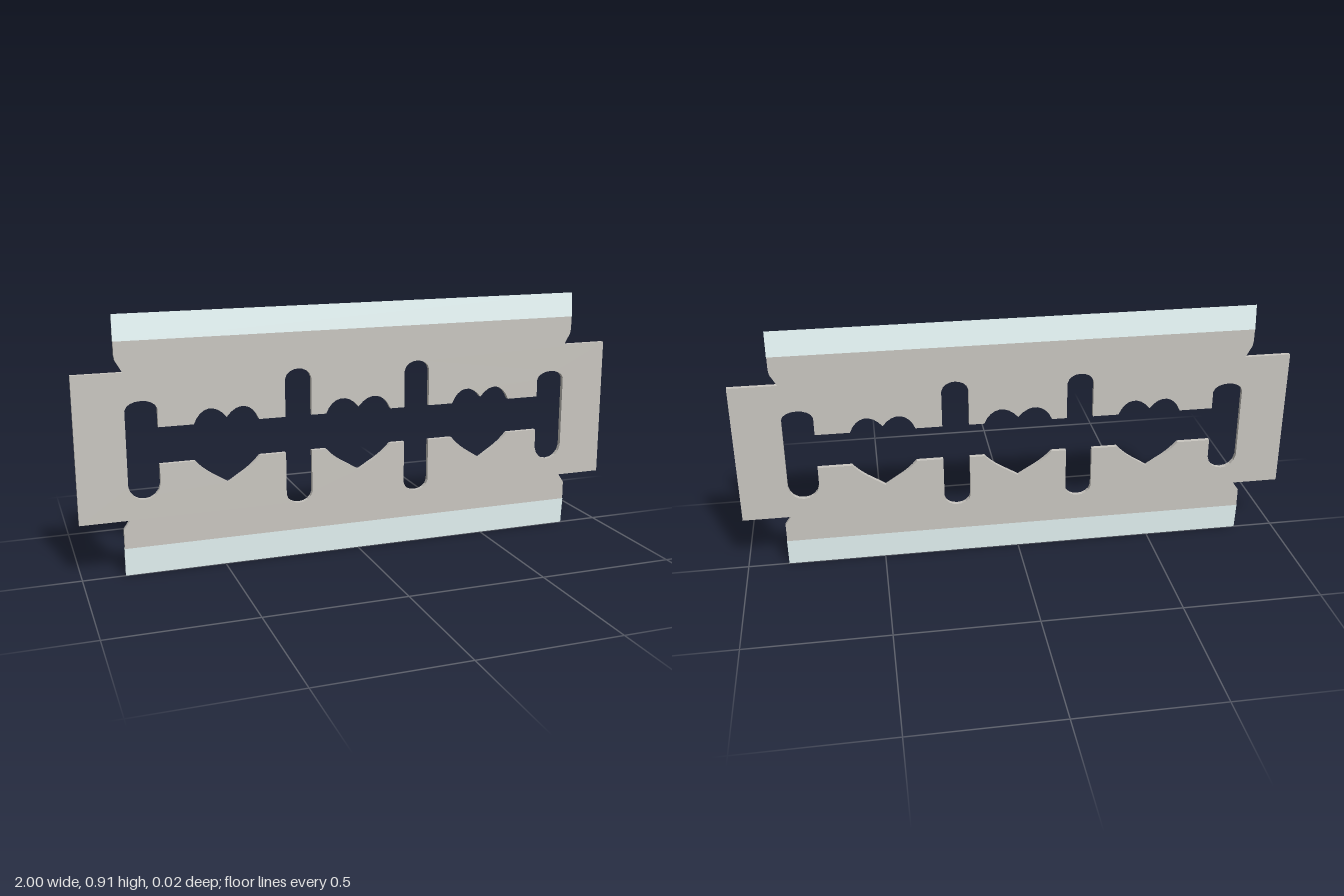
import * as THREE from 'three';

const HALF_T = 0.008;           // half thickness of the plate
const TOP = 0.52, BOTTOM = 0.39; // upper and lower edge of the central channel

const steel = new THREE.MeshStandardMaterial({ color: 0xcac7c1 });
const ground = new THREE.MeshStandardMaterial({ color: 0xeafafa });

// Cut-outs along the channel, from left to right
const slot = (x, half, top, capTop, bottom, capBottom) =>
  ({ x, half, top, capTop, bottom, capBottom });
const endSlot = (x) => slot(x, 0.055, 0.615, 0.03, 0.27, 0.05);
const crossSlot = (x) => slot(x, 0.048, 0.69, 0.035, 0.2, 0.035);
const heart = (x, half) => ({ x, half, isHeart: true });
const features = [
  endSlot(-0.775), heart(-0.483, 0.115), crossSlot(-0.225), heart(0, 0.123),
  crossSlot(0.225), heart(0.483, 0.115), endSlot(0.775),
];

// Rounded slot end: straight sides and a curved cap of height h
function slotEnd(path, x0, x1, edge, tip, h) {
  const y = tip - h, c = y + h * 4 / 3, inset = (x1 - x0) * 0.08;
  path.lineTo(x0, edge);
  path.lineTo(x0, y);
  path.bezierCurveTo(x0 + inset, c, x1 - inset, c, x1, y);
  path.lineTo(x1, edge);
}

// Two lobes of a heart, left to right
function heartLobes(path, x, w) {
  path.lineTo(x - w, TOP);
  path.bezierCurveTo(x - w * 0.8, 0.58, x - w * 0.35, 0.59, x, 0.537);
  path.bezierCurveTo(x + w * 0.35, 0.59, x + w * 0.8, 0.58, x + w, TOP);
}

// Point of a heart, right to left
function heartPoint(path, x, w) {
  path.lineTo(x + w, BOTTOM);
  path.quadraticCurveTo(x + w * 0.75, 0.355, x + w * 0.35, 0.328);
  path.lineTo(x, 0.302);
  path.lineTo(x - w * 0.35, 0.328);
  path.quadraticCurveTo(x - w * 0.75, 0.355, x - w, BOTTOM);
}

function channelHole() {
  const hole = new THREE.Path();
  hole.moveTo(-0.83, 0.45);
  for (const f of features) {
    if (f.isHeart) heartLobes(hole, f.x, f.half);
    else slotEnd(hole, f.x - f.half, f.x + f.half, TOP, f.top, f.capTop);
  }
  for (const f of [...features].reverse()) {
    if (f.isHeart) heartPoint(hole, f.x, f.half);
    else slotEnd(hole, f.x + f.half, f.x - f.half, BOTTOM, f.bottom, -f.capBottom);
  }
  hole.closePath();
  return hole;
}

// Flat plate with end tabs and chamfered notches
function plateShape() {
  const right = [
    [0.852, 0.1], [0.852, 0.168], [0.83, 0.2], [1, 0.2],
    [1, 0.715], [0.83, 0.715], [0.853, 0.756], [0.856, 0.775], [0.856, 0.82],
  ];
  const left = right.map(([x, y]) => [-x, y]).reverse();
  const shape = new THREE.Shape([...right, ...left].map(([x, y]) => new THREE.Vector2(x, y)));
  shape.holes.push(channelHole());
  return shape;
}

// Wedge tapering from the plate thickness to a sharp line
function cuttingEdge(name, base, tip, halfWidth) {
  const profile = new THREE.Shape([
    new THREE.Vector2(-HALF_T, base),
    new THREE.Vector2(HALF_T, base),
    new THREE.Vector2(0, tip),
  ]);
  const geometry = new THREE.ExtrudeGeometry(profile, { depth: 2 * halfWidth, bevelEnabled: false });
  geometry.translate(0, 0, -halfWidth);
  geometry.rotateY(Math.PI / 2);
  const mesh = new THREE.Mesh(geometry, ground);
  mesh.name = name;
  return mesh;
}

export function createModel() {
  const model = new THREE.Group();
  model.name = 'razorBlade';

  const plateGeometry = new THREE.ExtrudeGeometry(plateShape(), {
    depth: 2 * HALF_T, bevelEnabled: false, curveSegments: 8,
  });
  plateGeometry.translate(0, 0, -HALF_T);
  const plate = new THREE.Mesh(plateGeometry, steel);
  plate.name = 'plate';

  model.add(
    plate,
    cuttingEdge('topCuttingEdge', 0.82, 0.91, 0.857),
    cuttingEdge('bottomCuttingEdge', 0.1, 0, 0.853),
  );
  return model;
}
